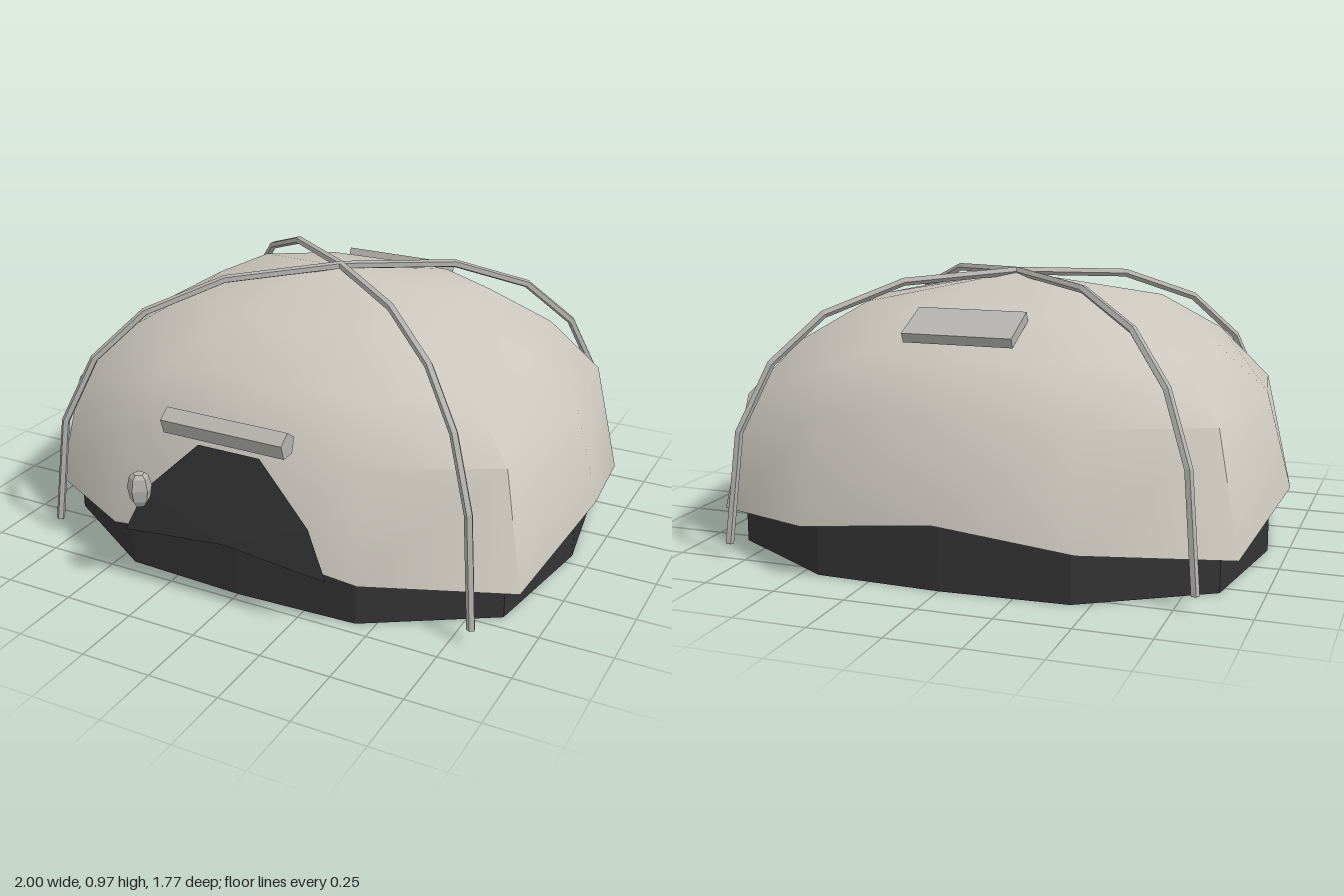
import * as THREE from 'three';
import { toCreasedNormals } from 'three/addons/utils/BufferGeometryUtils.js';

const CENTRE_Z = -0.055;

// Quarter of the twelve-sided plan: half-width x, half-depth z, and rim dip
const PLAN = [[0, 0.83, 0], [0.47, 0.81, 0.055], [0.92, 0.53, 0.11], [1, 0, 0]];

function planPoint(i) {
  const k = ((i % 12) + 12) % 12;
  const q = k <= 3 ? k : k <= 6 ? 6 - k : k <= 9 ? k - 6 : 12 - k;
  const [x, z, dip] = PLAN[q];
  return [x * (k > 6 ? -1 : 1), z * (k > 3 && k < 9 ? -1 : 1), dip];
}

// Stacks scaled copies of the plan; each ring is [scale, y, share of the dip]
function loft(rings, crease) {
  const pos = [], index = [];
  for (const [s, y, d] of rings) {
    for (let i = 0; i < 12; i++) {
      const [x, z, dip] = planPoint(i);
      pos.push(x * s, y - dip * d, z * s);
    }
  }
  for (let r = 0; r < rings.length - 1; r++) {
    for (let i = 0; i < 12; i++) {
      const a = r * 12 + i, b = r * 12 + (i + 1) % 12;
      index.push(a, b, b + 12);
      if (rings[r + 1][0] > 0) index.push(a, b + 12, a + 12);
    }
  }
  const g = new THREE.BufferGeometry();
  g.setAttribute('position', new THREE.Float32BufferAttribute(pos, 3));
  g.setIndex(index);
  return toCreasedNormals(g, crease);
}

// Straight-sided path that keeps every given corner
class Polyline extends THREE.Curve {
  constructor(points) { super(); this.points = points; }
  getPoint(t, target = new THREE.Vector3()) {
    const n = this.points.length - 1;
    const i = Math.min(Math.floor(t * n + 1e-9), n - 1);
    return target.lerpVectors(this.points[i], this.points[i + 1], t * n - i);
  }
  getUtoTmapping(u) { return u; }
}

export function createModel() {
  const group = new THREE.Group();
  const canvas = new THREE.MeshStandardMaterial({ color: 0xcbc7be, side: THREE.DoubleSide });
  const dark = new THREE.MeshStandardMaterial({ color: 0x343434, side: THREE.DoubleSide });
  const metal = new THREE.MeshStandardMaterial({ color: 0xb4b3ae, side: THREE.DoubleSide, flatShading: true });

  const add = (name, geometry, material, x = 0, y = 0, z = 0) => {
    const mesh = new THREE.Mesh(geometry, material);
    mesh.name = name;
    mesh.position.set(x, y, z);
    group.add(mesh);
    return mesh;
  };

  // Fabric dome with a scalloped rim
  add('dome', loft([[1, 0.235, 1], [0.91, 0.57, 0.3], [0.73, 0.725, 0], [0.51, 0.855, 0], [0, 0.95, 0]], 0.78),
    canvas, 0, 0, CENTRE_Z);

  // Open ground skirt
  add('skirt', loft([[0.93, 0, 0], [0.93, 0.22, 0]], 0.02), dark, 0, 0, CENTRE_Z);

  // Crossed poles: [share of the half-span, height]
  const arch = [[1, 0.05], [0.955, 0.44], [0.845, 0.67], [0.67, 0.83], [0.4, 0.93], [0, 0.953]];
  const full = [...arch, ...arch.slice(0, -1).reverse().map(([s, y]) => [-s, y])];
  for (const side of [1, -1]) {
    const path = new Polyline(full.map(([s, y]) => new THREE.Vector3(0.815 * s * side, y, 0.685 * s)));
    add(side > 0 ? 'leftFrontPole' : 'rightFrontPole',
      new THREE.TubeGeometry(path, full.length - 1, 0.015, 5), metal, 0, 0, CENTRE_Z);
  }

  // Doorway panel, a fan from the middle of its lower edge
  const edge = [[0.385, 0.2, 0.808], [0.31, 0.36, 0.785], [0.115, 0.55, 0.748]];
  const outline = [...edge, ...edge.slice().reverse().map(([x, y, z]) => [-x, y, z])];
  const tris = [];
  for (let i = 0; i < outline.length - 1; i++) tris.push(0, 0.24, 0.812, ...outline[i], ...outline[i + 1]);
  const door = new THREE.BufferGeometry();
  door.setAttribute('position', new THREE.Float32BufferAttribute(tris, 3));
  door.computeVertexNormals();
  add('doorway', door, dark);

  // Rolled flap above the doorway
  const roll = new THREE.CylinderGeometry(0.045, 0.045, 0.45, 5);
  roll.rotateZ(Math.PI / 2).rotateX(-Math.PI / 2);
  add('rolledFlap', roll, metal, 0, 0.622, 0.755);

  // Roof vent cover
  add('ventCover', new THREE.BoxGeometry(0.38, 0.035, 0.165), metal, 0, 0.82, -0.577).rotation.x = -0.42;

  // Lantern beside the doorway
  const profile = [[0, -0.06], [0.02, -0.058], [0.036, -0.035], [0.043, 0.005], [0.034, 0.045], [0.02, 0.058], [0, 0.06]];
  add('lantern', new THREE.LatheGeometry(profile.map(([x, y]) => new THREE.Vector2(x, y)), 5),
    metal, -0.293, 0.388, 0.84);

  return group;
}
